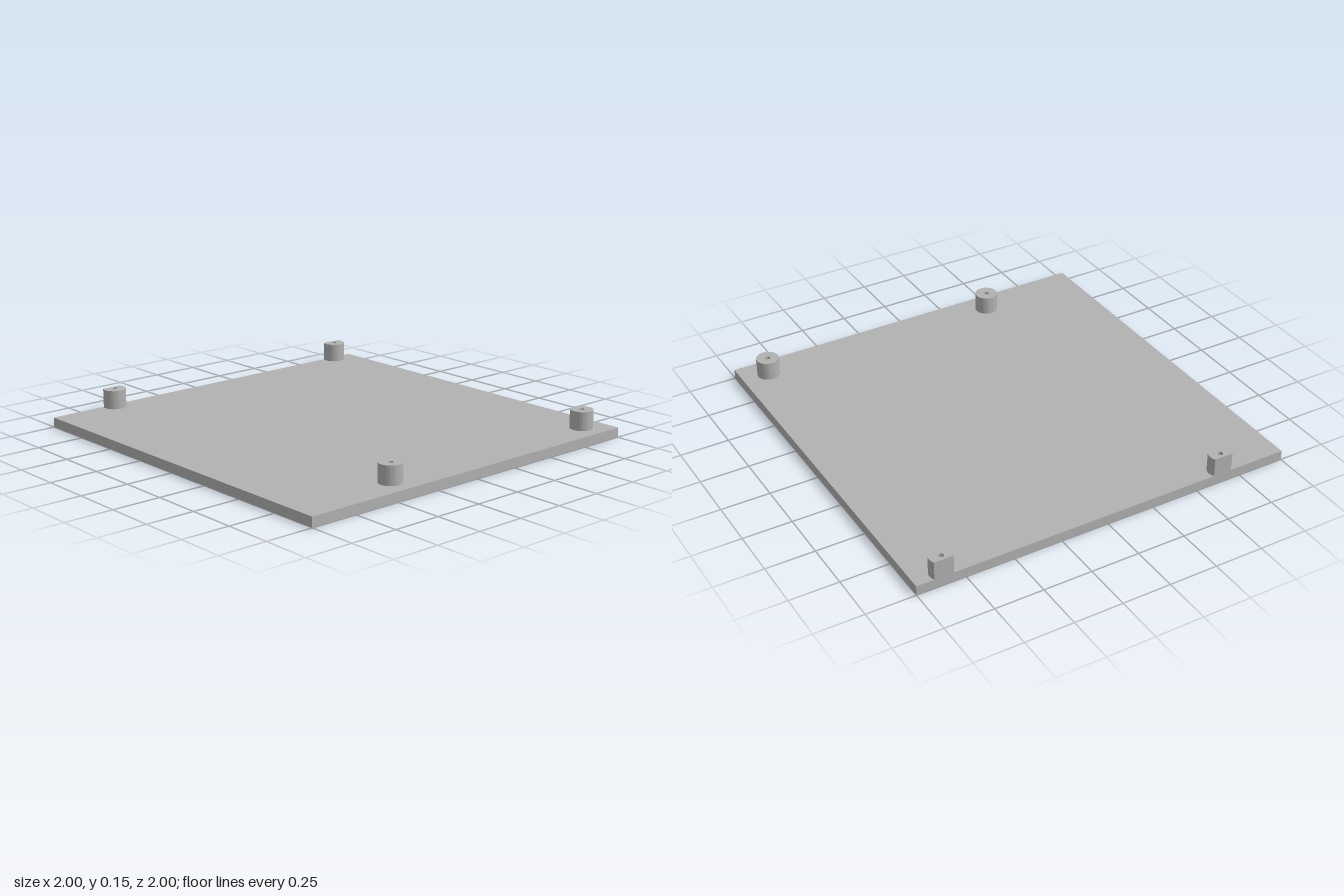
import * as THREE from 'three';
import { toCreasedNormals } from 'three/addons/utils/BufferGeometryUtils.js';

const PLATE_H = 0.05, TOP = 0.146, R = 0.058, HOLE_R = 0.014;

// Hollow standoff; the part beyond the plate's back edge (z = -1) is cut flat
function standoffGeometry(z) {
  const toEdge = z + 1;
  const a = toEdge < R ? Math.asin(toEdge / R) : Math.PI / 2;
  const shape = new THREE.Shape();
  shape.absarc(0, 0, R, Math.PI - a, Math.PI * 2 + a, false);
  const hole = new THREE.Path();
  hole.absarc(0, 0, HOLE_R, 0, Math.PI * 2, true);
  shape.holes.push(hole);
  const geo = new THREE.ExtrudeGeometry(shape, {
    depth: TOP - PLATE_H, bevelEnabled: false, curveSegments: 40,
  });
  geo.rotateX(-Math.PI / 2);
  return toCreasedNormals(geo, 0.5);
}

export function createModel() {
  const group = new THREE.Group();
  const grey = new THREE.MeshStandardMaterial({ color: 0xb2b2b2 });
  grey.name = 'light grey';

  // Base plate
  const plate = new THREE.Mesh(new THREE.BoxGeometry(2, PLATE_H, 2), grey);
  plate.name = 'basePlate';
  plate.position.y = PLATE_H / 2;
  group.add(plate);

  // Four standoffs
  const standoffs = [
    ['backRightStandoff', -0.647, -0.97],
    ['backLeftStandoff', 0.86, -0.97],
    ['frontRightStandoff', -0.435, 0.88],
    ['frontLeftStandoff', 0.86, 0.88],
  ];
  for (const [name, x, z] of standoffs) {
    const mesh = new THREE.Mesh(standoffGeometry(z), grey);
    mesh.name = name;
    mesh.position.set(x, PLATE_H, z);
    group.add(mesh);
  }
  return group;
}
